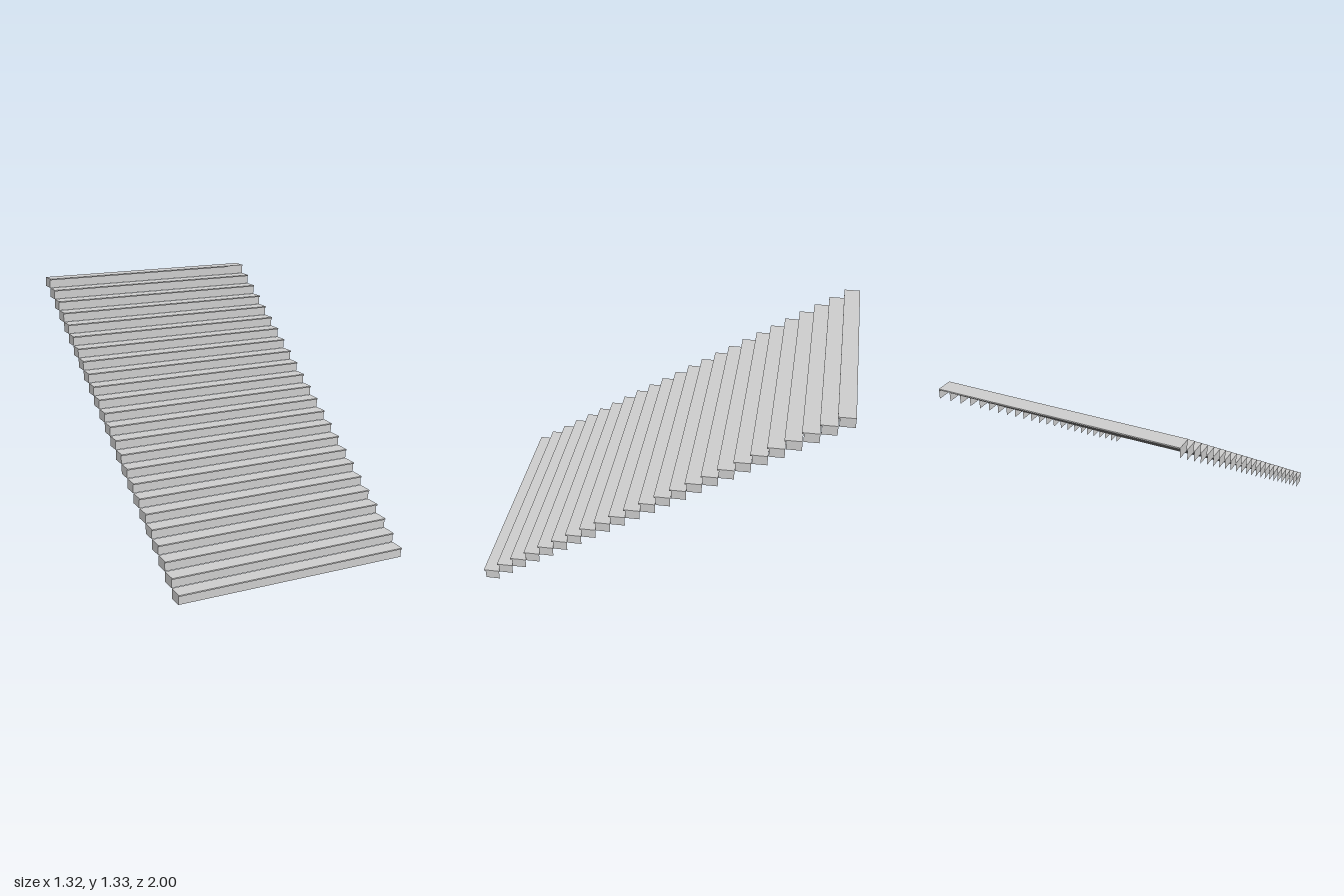
import * as THREE from 'three';

const STEPS = 24;
const WIDTH = 1.32;
const RISE = 1.326 / STEPS;
const DEPTH = 0.09; // tread depth including the nosing
const RUN = (2 - DEPTH) / (STEPS - 1);
const TREAD = 0.007; // tread thickness
const NOSING = 0.01; // tread overhang in front of the riser

export function createModel() {
  const material = new THREE.MeshStandardMaterial({ color: 0xcccccc, side: THREE.DoubleSide });
  const bodyHeight = RISE - TREAD;
  const bodyDepth = DEPTH - NOSING;

  // Shared geometry: each step is a hollow shell, open at the back and underneath
  const treadGeometry = new THREE.BoxGeometry(WIDTH, TREAD, DEPTH);
  const riserGeometry = new THREE.PlaneGeometry(WIDTH, bodyHeight);
  const sideGeometry = new THREE.PlaneGeometry(bodyDepth, bodyHeight).rotateY(Math.PI / 2);

  function addPart(parent, name, geometry, x, y, z) {
    const mesh = new THREE.Mesh(geometry, material);
    mesh.name = name;
    mesh.position.set(x, y, z);
    parent.add(mesh);
    return mesh;
  }

  const staircase = new THREE.Group();
  staircase.name = 'staircase';

  for (let i = 0; i < STEPS; i++) {
    const step = new THREE.Group();
    step.name = `step${i + 1}`;
    step.position.set(0, i * RISE, 1 - i * RUN); // origin at the bottom under the nosing

    addPart(step, 'tread', treadGeometry, 0, RISE - TREAD / 2, -DEPTH / 2);
    addPart(step, 'riser', riserGeometry, 0, bodyHeight / 2, -NOSING);

    // End panels closing the left and right of the step
    const sideZ = -NOSING - bodyDepth / 2;
    addPart(step, 'leftSide', sideGeometry, WIDTH / 2, bodyHeight / 2, sideZ);
    addPart(step, 'rightSide', sideGeometry, -WIDTH / 2, bodyHeight / 2, sideZ).rotation.y = Math.PI;

    staircase.add(step);
  }
  return staircase;
}
